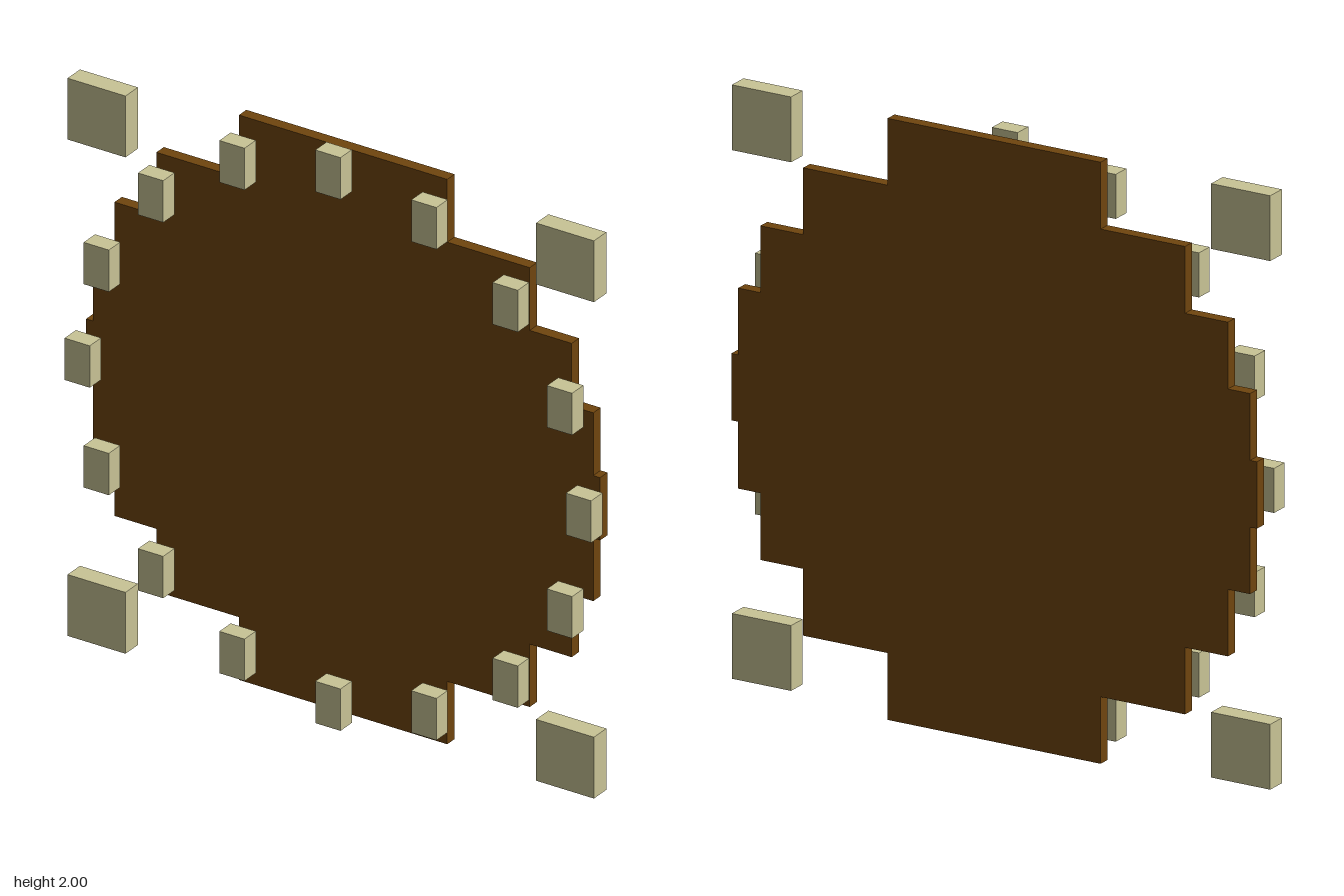
import * as THREE from 'three';

export function createModel() {
  const model = new THREE.Group();
  model.name = 'steppedDisc';
  const brown = new THREE.MeshStandardMaterial({ color: 0x70450e });
  brown.name = 'brown';
  const tan = new THREE.MeshStandardMaterial({ color: 0xc9c496 });
  tan.name = 'tan';

  // Stepped round plate: nine equal rows, half widths from the middle row outward
  const halfWidths = [0.95, 0.925, 0.845, 0.69, 0.385];
  const row = 0.219;
  const right = [];
  for (let i = -4; i <= 4; i++) {
    const w = halfWidths[Math.abs(i)];
    right.push(new THREE.Vector2(w, 1 + (i - 0.5) * row), new THREE.Vector2(w, 1 + (i + 0.5) * row));
  }
  const left = right.map((p) => new THREE.Vector2(-p.x, p.y)).reverse();
  const plate = new THREE.Mesh(
    new THREE.ExtrudeGeometry(new THREE.Shape([...right, ...left]), { depth: 0.041, bevelEnabled: false }),
    brown
  );
  plate.name = 'plate';
  plate.position.z = -0.063;
  model.add(plate);

  const addBlock = (name, geometry, x, y, z) => {
    const block = new THREE.Mesh(geometry, tan);
    block.name = name;
    block.position.set(x, y, z);
    model.add(block);
  };

  // Ring of sixteen upright markers in front of the rim
  const marker = new THREE.BoxGeometry(0.093, 0.146, 0.063);
  for (let i = 0; i < 16; i++) {
    const a = (i * Math.PI) / 8;
    addBlock('rimMarker', marker, 0.927 * Math.cos(a), 1 + 0.927 * Math.sin(a), 0.0315);
  }

  // Four square corner blocks
  const corner = new THREE.BoxGeometry(0.214, 0.214, 0.069);
  for (const sx of [-1, 1]) {
    for (const sy of [-1, 1]) addBlock('cornerBlock', corner, sx * 0.866, 1 + sy * 0.866, 0.0125);
  }
  return model;
}
